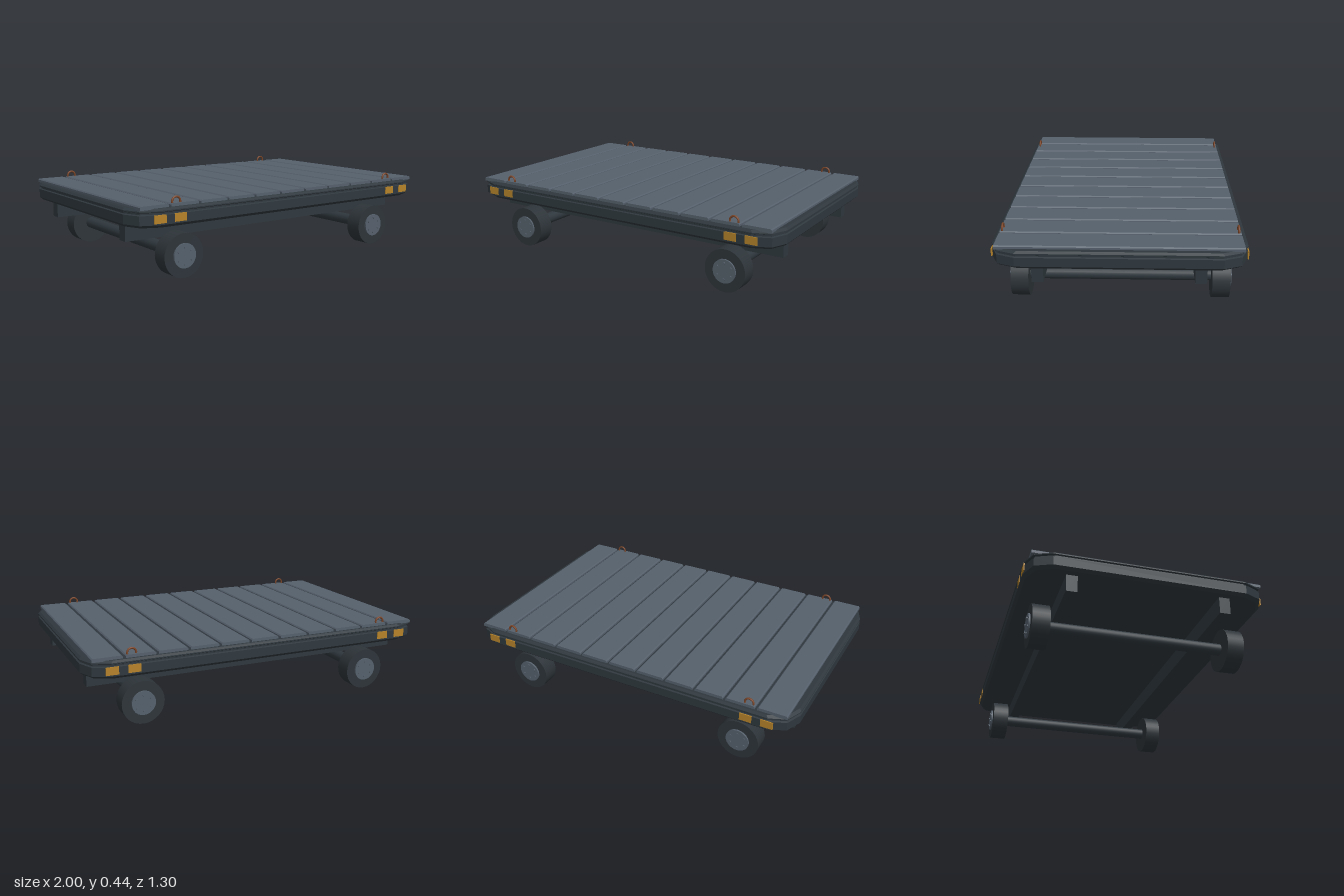
import * as THREE from 'three';

const mat = (name, color) => {
  const m = new THREE.MeshStandardMaterial({ color });
  m.name = name;
  return m;
};

// Outline of the deck with faceted corners, pulled in by an inset
function outline(inset) {
  const hx = 1 - inset, hz = 0.65 - inset, r = 0.13, pts = [];
  [[1, 1], [-1, 1], [-1, -1], [1, -1]].forEach(([sx, sz], q) => {
    for (let i = 0; i <= 2; i++) {
      const a = (q + i / 2) * Math.PI / 2;
      pts.push([sx * (hx - r) + r * Math.cos(a), sz * (hz - r) + r * Math.sin(a)]);
    }
  });
  return pts;
}

// Closed solid from stacked outlines, each layer being [height, inset]
function loft(layers) {
  const pos = [];
  const rings = layers.map(([y, inset]) => outline(inset).map(([x, z]) => [x, y, z]));
  const n = rings[0].length;
  const tri = (a, b, c) => pos.push(...a, ...b, ...c);
  const bottom = rings[0], top = rings[rings.length - 1];
  for (let i = 0; i < n; i++) {
    const j = (i + 1) % n;
    for (let k = 0; k < rings.length - 1; k++) {
      const lo = rings[k], hi = rings[k + 1];
      tri(lo[i], hi[i], hi[j]);
      tri(lo[i], hi[j], lo[j]);
    }
    tri([0, top[0][1], 0], top[j], top[i]);
    tri([0, bottom[0][1], 0], bottom[i], bottom[j]);
  }
  const g = new THREE.BufferGeometry();
  g.setAttribute('position', new THREE.Float32BufferAttribute(pos, 3));
  g.computeVertexNormals();
  return g;
}

export function createModel() {
  const frameMat = mat('dark steel', 0x2f383e);
  const plankMat = mat('slate planks', 0x55606c);
  const tyreMat = mat('tyre rubber', 0x2d3439);
  const amberMat = mat('amber reflector', 0xb5832a);
  const ringMat = mat('rusty ring', 0x7c4629);

  const model = new THREE.Group();
  model.name = 'flatbedCart';
  const add = (name, geo, material, x = 0, y = 0, z = 0, parent = model) => {
    const m = new THREE.Mesh(geo, material);
    m.name = name;
    m.position.set(x, y, z);
    parent.add(m);
    return m;
  };

  // Deck body with a groove below its top rim
  add('deckBody', loft([
    [0.295, 0.015], [0.31, 0], [0.358, 0], [0.362, 0.008],
    [0.37, 0.008], [0.374, 0], [0.38, 0], [0.39, 0.012],
  ]), frameMat);

  // Planks across the deck, with chamfered upper edges
  const pitch = 0.1765, half = 0.078;
  const section = new THREE.Shape([
    [-half - 0.003, 0.386], [half + 0.003, 0.386], [half + 0.003, 0.4],
    [half - 0.003, 0.406], [-half + 0.003, 0.406], [-half - 0.003, 0.4],
  ].map(([x, y]) => new THREE.Vector2(x, y)));
  const plankGeo = new THREE.ExtrudeGeometry(section, { depth: 1.25, bevelEnabled: false });
  plankGeo.translate(0, 0, -0.625);
  for (let i = -5; i <= 5; i++) add('plank', plankGeo, plankMat, i * pitch);

  // Chassis rails under the deck
  const railGeo = new THREE.BoxGeometry(1.9, 0.096, 0.06);
  for (const s of [1, -1]) add('chassisRail', railGeo, frameMat, 0, 0.249, s * 0.413);

  // Axles and wheels
  const cyl = (r, len, seg) => new THREE.CylinderGeometry(r, r, len, seg).rotateX(Math.PI / 2);
  const axleGeo = cyl(0.033, 1.0, 20);
  const tyreGeo = cyl(0.118, 0.095, 32);
  const hubGeo = cyl(0.066, 0.02, 24);
  const boltGeo = cyl(0.007, 0.012, 8);
  for (const sx of [1, -1]) {
    add('axle', axleGeo, frameMat, sx * 0.687, 0.125, 0);
    for (const sz of [1, -1]) {
      const wheel = new THREE.Group();
      wheel.name = 'wheel';
      wheel.position.set(sx * 0.687, 0.121, sz * 0.5325);
      model.add(wheel);
      add('tyre', tyreGeo, tyreMat, 0, 0, 0, wheel);
      add('hub', hubGeo, plankMat, 0, 0, sz * 0.047, wheel);
      for (let k = 0; k < 6; k++) {
        const a = k * Math.PI / 3 + Math.PI / 6;
        add('wheelBolt', boltGeo, plankMat, 0.045 * Math.cos(a), 0.045 * Math.sin(a), sz * 0.056, wheel);
      }
    }
  }

  // Paired reflectors on the long sides and lashing rings above them
  const reflectorGeo = new THREE.BoxGeometry(0.068, 0.042, 0.006);
  const ringGeo = new THREE.TorusGeometry(0.024, 0.0055, 8, 20);
  for (const sx of [1, -1]) {
    for (const sz of [1, -1]) {
      for (const x of [0.75, 0.866]) add('reflector', reflectorGeo, amberMat, sx * x, 0.339, sz * 0.649);
      add('lashingRing', ringGeo, ringMat, sx * 0.752, 0.412, sz * 0.612);
    }
  }
  return model;
}
